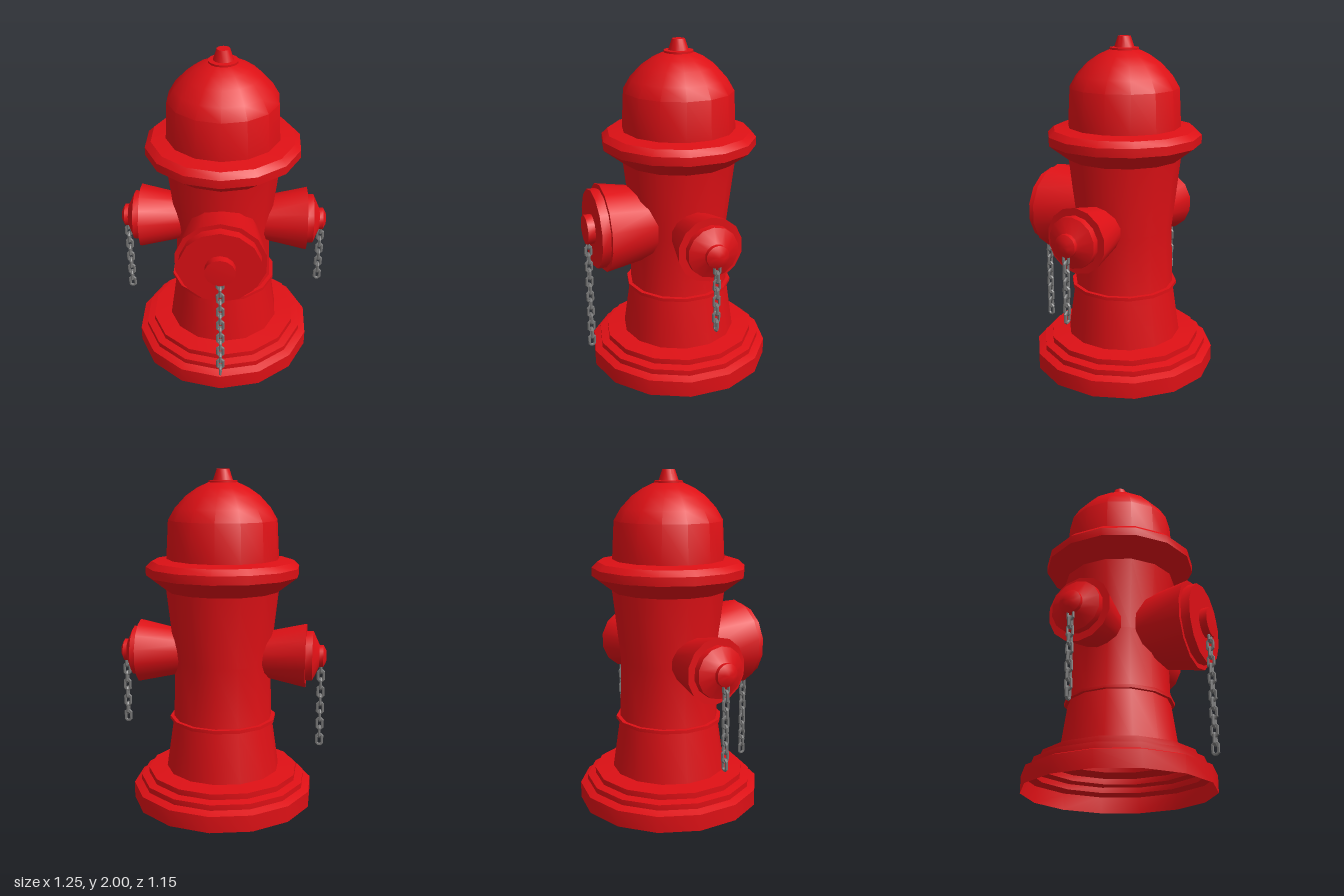
import * as THREE from 'three';
import { toCreasedNormals, mergeGeometries } from 'three/addons/utils/BufferGeometryUtils.js';

const SIDES = 14;
const CZ = -0.023;

const red = new THREE.MeshStandardMaterial({ color: 0xdd1015, side: THREE.DoubleSide });
const steel = new THREE.MeshStandardMaterial({ color: 0x777777 });

// Turned part: profile of [radius, height] pairs, crisp at steps, smooth around
function turned(profile) {
  const points = profile.map(([r, y]) => new THREE.Vector2(r, y));
  return toCreasedNormals(new THREE.LatheGeometry(points, SIDES), 0.56);
}

function addMesh(parent, name, geometry, material = red) {
  const mesh = new THREE.Mesh(geometry, material);
  mesh.name = name;
  parent.add(mesh);
  return mesh;
}

// Oval link: a torus whose upper and lower halves are pulled apart
function linkGeometry() {
  const g = new THREE.TorusGeometry(0.018, 0.009, 6, 8, Math.PI * 2);
  g.rotateZ(Math.PI / 8);
  const p = g.attributes.position;
  for (let i = 0; i < p.count; i++) p.setY(i, p.getY(i) + Math.sign(p.getY(i)) * 0.015);
  return toCreasedNormals(g, 0.5);
}

// Hanging chain, built upward from its lowest link; alternate links are turned
function chainGeometry(bottom, count, pitch, firstTurned) {
  const links = [];
  for (let i = 0; i < count; i++) {
    const link = linkGeometry();
    if ((i % 2 === 0) === firstTurned) link.rotateY(Math.PI / 2);
    links.push(link.translate(0, bottom + i * pitch, 0));
  }
  return mergeGeometries(links);
}

export function createModel() {
  const model = new THREE.Group();
  model.name = 'hydrant';

  const barrel = new THREE.Group();
  barrel.name = 'barrel';
  barrel.position.set(-0.004, 0, CZ);
  model.add(barrel);

  // Stepped foot, open underneath
  addMesh(barrel, 'base', turned([
    [0.55, 0], [0.55, 0.098], [0.505, 0.115], [0.505, 0.148],
    [0.457, 0.158], [0.457, 0.192], [0.345, 0.202],
  ]));

  // Waisted column
  addMesh(barrel, 'column', turned([
    [0.345, 0.202], [0.302, 0.5], [0.298, 0.53], [0.289, 0.88], [0.337, 1.3],
  ]));
  addMesh(barrel, 'columnRing', turned([
    [0.295, 0.505], [0.322, 0.505], [0.322, 0.525], [0.295, 0.525],
  ]));

  // Flared collar under the dome
  addMesh(barrel, 'collar', turned([
    [0.337, 1.3], [0.455, 1.39], [0.455, 1.44], [0.42, 1.473], [0.328, 1.486],
  ]));

  // Dome and its top nut
  addMesh(barrel, 'dome', turned([
    [0.333, 1.486], [0.321, 1.71], [0.28, 1.78], [0.215, 1.85], [0.15, 1.895],
    [0.08, 1.927], [0, 1.935],
  ]));
  addMesh(barrel, 'topNut', turned([
    [0.085, 1.92], [0.085, 1.936], [0.058, 1.938], [0.037, 2], [0, 2],
  ]));

  // Side outlets: flared nozzle, conical cap and nut
  const sideProfile = [
    [0.122, 0.18], [0.193, 0.503], [0.15, 0.503], [0.15, 0.543], [0.07, 0.58],
    [0.067, 0.582], [0.067, 0.605], [0.035, 0.622], [0, 0.624],
  ];
  for (const side of [1, -1]) {
    const geometry = turned(sideProfile).rotateY(Math.PI / 2).rotateZ(-side * Math.PI / 2);
    const outlet = addMesh(model, side > 0 ? 'leftOutlet' : 'rightOutlet', geometry);
    outlet.position.set(-0.002, 0.913, CZ);
  }

  // Large front outlet
  const front = addMesh(model, 'frontOutlet', turned([
    [0.215, 0.18], [0.265, 0.468], [0.237, 0.468], [0.237, 0.52],
    [0.088, 0.52], [0.088, 0.564], [0, 0.57],
  ]).rotateX(Math.PI / 2));
  front.position.set(0, 0.925, 0);

  // Chains hanging from the cap nuts
  addMesh(model, 'frontChain', chainGeometry(0.182, 14, 0.0503, true), steel)
    .position.set(0, 0, 0.548);
  addMesh(model, 'leftChain', chainGeometry(0.49, 8, 0.05, false), steel)
    .position.set(0.595, 0, CZ);
  addMesh(model, 'rightChain', chainGeometry(0.392, 10, 0.05, false), steel)
    .position.set(-0.595, 0, CZ);

  return model;
}
